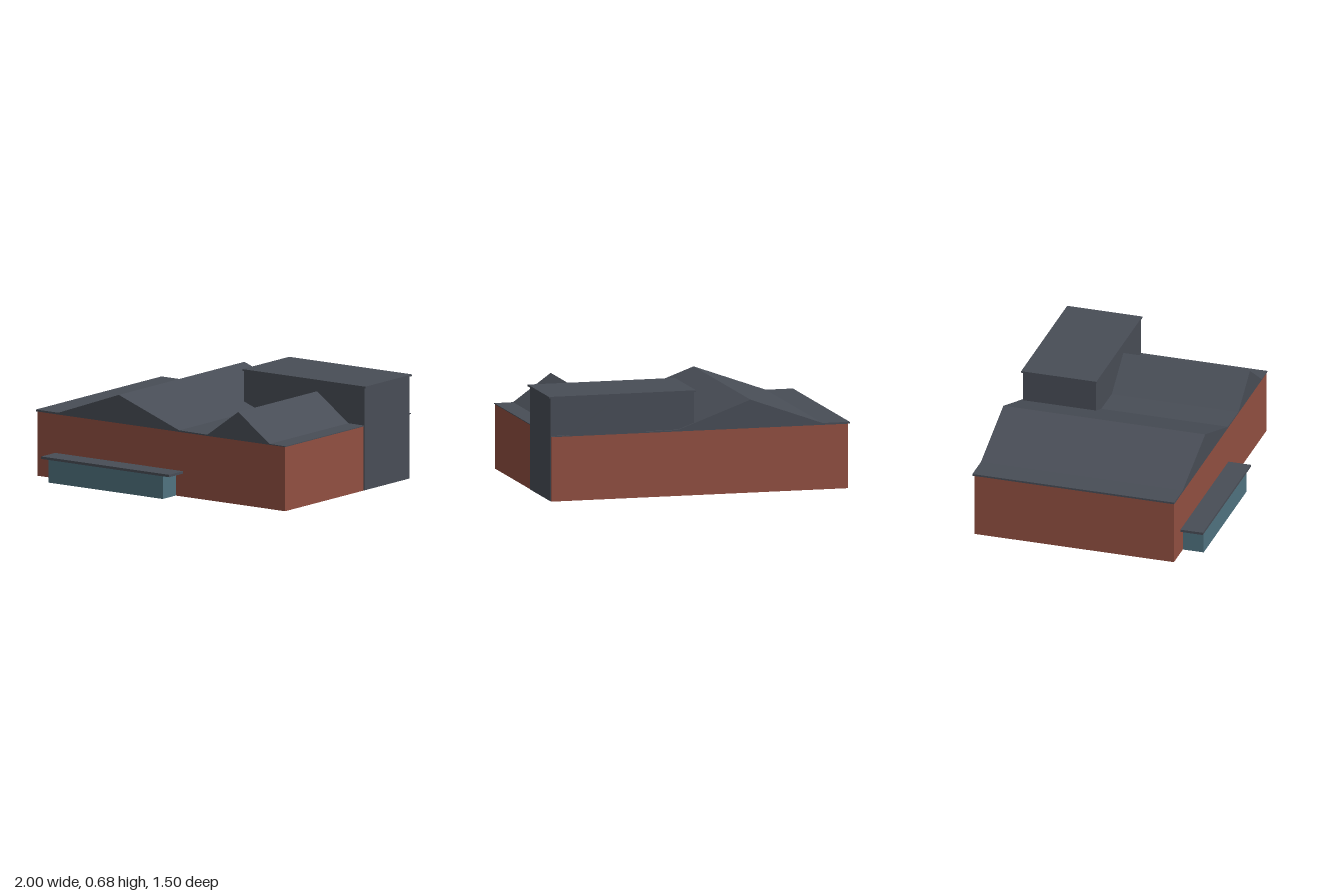
import * as THREE from 'three';

export function createModel() {
  const group = new THREE.Group();
  const material = (name, color) => {
    const m = new THREE.MeshStandardMaterial({ color });
    m.name = name;
    return m;
  };
  const brick = material('brick red', 0x914f41);
  const slate = material('slate grey', 0x484d56);
  const teal = material('teal', 0x50727f);

  const add = (name, geometry, mat) => {
    const mesh = new THREE.Mesh(geometry, mat);
    mesh.name = name;
    group.add(mesh);
  };
  // Box given by its minimum and maximum on each axis
  const block = (name, mat, [x0, x1], [y0, y1], [z0, z1]) => {
    const g = new THREE.BoxGeometry(x1 - x0, y1 - y0, z1 - z0);
    g.translate((x0 + x1) / 2, (y0 + y1) / 2, (z0 + z1) / 2);
    add(name, g, mat);
  };

  // Main hall
  block('hall', brick, [-0.99, 0.98], [0, 0.42], [-0.74, 0.6]);

  // Hall roof: thin deck with a wide and a narrow gable, one continuous section
  const section = new THREE.Shape([
    [-1, 0.42], [0.985, 0.42], [0.985, 0.425], [0.86, 0.426], [0.61, 0.605],
    [0.365, 0.428], [0.14, 0.43], [-0.34, 0.605], [-0.82, 0.432], [-1, 0.432],
  ].map(([x, y]) => new THREE.Vector2(x, y)));
  const roof = new THREE.ExtrudeGeometry(section, { depth: 1.355, bevelEnabled: false });
  roof.translate(0, 0, -0.75);
  add('gabledRoof', roof, slate);

  // Raised rear block, running down to the ground on the left side
  block('tower', slate, [0.03, 0.986], [0.002, 0.67], [-0.735, -0.245]);
  block('towerRoof', slate, [0.02, 0.998], [0.67, 0.681], [-0.745, -0.24]);

  // Low front porch with an overhanging flat roof
  block('porch', teal, [-0.8, 0.11], [0, 0.15], [0.59, 0.74]);
  block('porchRoof', slate, [-0.85, 0.168], [0.15, 0.166], [0.59, 0.75]);

  return group;
}
